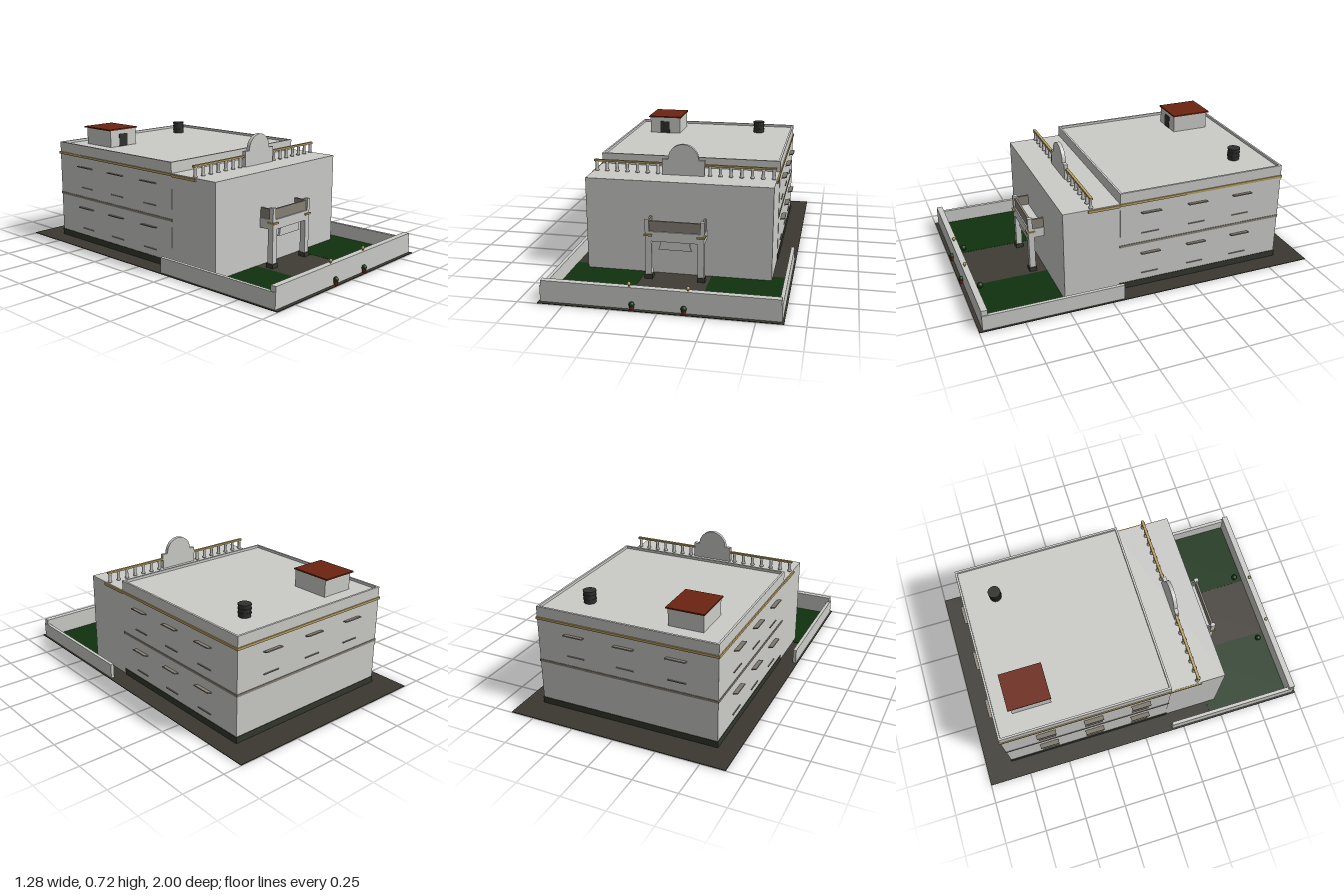
import * as THREE from 'three';

const mat = (name, color) => {
  const m = new THREE.MeshStandardMaterial({ color });
  m.name = name;
  return m;
};

export function createModel() {
  const white = mat('plaster white', 0xcbcbc8);
  const taupe = mat('stone taupe', 0x878175);
  const gold = mat('ochre gold', 0xb89f60);
  const red = mat('roof red', 0x6c2411);
  const dark = mat('charcoal', 0x30312e);
  const green = mat('lawn green', 0x10320f);
  const ground = mat('ground grey', 0x3a3830);
  const path = mat('path grey', 0x403c36);
  const plinth = mat('plinth olive', 0x33372c);

  const model = new THREE.Group();
  model.name = 'building';
  const group = (name) => {
    const g = new THREE.Group();
    g.name = name;
    model.add(g);
    return g;
  };
  const add = (parent, name, geo, m, x = 0, y = 0, z = 0) => {
    const mesh = new THREE.Mesh(geo, m);
    mesh.name = name;
    mesh.position.set(x, y, z);
    parent.add(mesh);
    return mesh;
  };
  // Box given by its limits on each axis
  const box = (parent, name, m, x0, x1, y0, y1, z0, z1) =>
    add(parent, name, new THREE.BoxGeometry(x1 - x0, y1 - y0, z1 - z0), m,
      (x0 + x1) / 2, (y0 + y1) / 2, (z0 + z1) / 2);
  // Box and its mirror image across x = 0
  const pair = (parent, name, m, x0, x1, ...yz) => {
    box(parent, name, m, x0, x1, ...yz);
    box(parent, name, m, -x1, -x0, ...yz);
  };
  const ball = (parent, name, m, r, x, y, z) =>
    add(parent, name, new THREE.SphereGeometry(r, 12, 8), m, x, y, z);

  // Plot, lawns and path
  const plot = group('plot');
  box(plot, 'groundSlab', ground, -0.64, 0.64, 0.001, 0.005, -1, 1);
  pair(plot, 'lawn', green, 0.19, 0.61, 0.004, 0.008, 0.435, 0.95);
  box(plot, 'path', path, -0.19, 0.19, 0.004, 0.007, 0.435, 0.95);

  // Boundary wall
  const wall = group('boundaryWall');
  box(wall, 'frontWall', white, -0.625, 0.625, 0.005, 0.123, 0.945, 0.98);
  pair(wall, 'sideWall', white, 0.61, 0.63, 0.005, 0.093, 0.175, 0.98);
  for (const s of [-1, 1]) {
    ball(wall, 'wallLamp', gold, 0.01, s * 0.153, 0.137, 0.963);
    add(wall, 'lampStem', new THREE.CylinderGeometry(0.005, 0.005, 0.012, 8), gold, s * 0.153, 0.126, 0.963);
    // Potted plants outside, bushes inside
    add(wall, 'plantPot', new THREE.CylinderGeometry(0.013, 0.01, 0.022, 10), red, s * 0.135, 0.016, 0.988);
    ball(wall, 'pottedPlant', green, 0.015, s * 0.135, 0.034, 0.988);
    ball(wall, 'bush', green, 0.018, s * 0.225, 0.022, 0.9);
  }

  // Main blocks
  const body = group('body');
  box(body, 'rearBlock', white, -0.53, 0.53, 0, 0.59, -0.84, 0.165);
  box(body, 'frontBlock', white, -0.528, 0.528, 0.003, 0.543, 0.16, 0.492);
  pair(body, 'sideParapet', white, 0.518, 0.53, 0.59, 0.605, -0.84, 0.165);
  box(body, 'rearParapet', white, -0.518, 0.518, 0.59, 0.605, -0.84, -0.828);
  box(body, 'frontParapet', white, -0.518, 0.518, 0.59, 0.605, 0.153, 0.165);
  pair(body, 'sidePlinth', plinth, 0.528, 0.533, 0.005, 0.042, -0.843, 0.167);
  box(body, 'rearPlinth', plinth, -0.533, 0.533, 0.005, 0.042, -0.843, -0.838);
  pair(body, 'middleBand', taupe, 0.528, 0.533, 0.272, 0.286, -0.843, 0.167);
  box(body, 'rearMiddleBand', taupe, -0.533, 0.533, 0.272, 0.286, -0.843, -0.838);
  pair(body, 'cornice', gold, 0.526, 0.536, 0.53, 0.544, -0.846, 0.167);
  box(body, 'rearCornice', gold, -0.536, 0.536, 0.53, 0.544, -0.846, -0.838);
  pair(body, 'frontCornice', gold, 0.526, 0.536, 0.525, 0.54, 0.167, 0.35);

  // Upturned window shades with sills; each unit faces +z before turning
  const windows = group('windows');
  const addWindow = (x, z, turn, shadeY, sillY) => {
    const unit = new THREE.Group();
    unit.name = 'window';
    unit.position.set(x, 0, z);
    unit.rotation.y = turn;
    windows.add(unit);
    const shade = box(unit, 'windowShade', taupe, -0.057, 0.057, shadeY - 0.003, shadeY + 0.003, -0.004, 0.028);
    shade.rotation.x = -0.22;
    box(unit, 'windowSill', taupe, -0.052, 0.052, sillY - 0.003, sillY + 0.003, -0.002, 0.005);
  };
  for (const [shadeY, sillY] of [[0.473, 0.342], [0.217, 0.083]]) {
    for (const z of [-0.015, -0.3, -0.583]) {
      addWindow(0.53, z, Math.PI / 2, shadeY, sillY);
      addWindow(-0.53, z, -Math.PI / 2, shadeY, sillY);
    }
  }
  for (const x of [-0.3, 0, 0.3]) addWindow(x, -0.84, Math.PI, 0.473, 0.342);

  // Balustrade with slim turned posts
  const balustrade = group('balustrade');
  const postGeo = new THREE.LatheGeometry(
    [[0, 0], [0.012, 0], [0.012, 0.006], [0.009, 0.012], [0.009, 0.048], [0.014, 0.056], [0, 0.056]]
      .map(([r, y]) => new THREE.Vector2(r, y)), 10);
  for (const s of [-1, 1]) {
    for (let i = 0; i < 7; i++) add(balustrade, 'post', postGeo, white, s * (0.15 + i * 0.06), 0.543, 0.328);
  }
  pair(balustrade, 'rail', gold, 0.12, 0.525, 0.598, 0.609, 0.32, 0.336);

  // Round-topped centrepiece
  const crest = new THREE.Shape();
  crest.moveTo(-0.122, 0.543);
  crest.lineTo(0.122, 0.543);
  crest.lineTo(0.122, 0.633);
  crest.lineTo(0.088, 0.633);
  crest.absarc(0, 0.633, 0.088, 0, Math.PI, false);
  crest.lineTo(-0.122, 0.633);
  add(balustrade, 'crest', new THREE.ExtrudeGeometry(crest, { depth: 0.022, bevelEnabled: false, curveSegments: 24 }),
    white, 0, 0, 0.322);

  // Rooftop hut and water tank
  const roof = group('rooftop');
  box(roof, 'hut', white, -0.4, -0.2, 0.588, 0.692, -0.73, -0.503);
  box(roof, 'hutRoof', red, -0.41, -0.193, 0.692, 0.7, -0.745, -0.498);
  box(roof, 'hutDoor', dark, -0.333, -0.27, 0.59, 0.667, -0.505, -0.5);
  add(roof, 'waterTank', new THREE.CylinderGeometry(0.034, 0.034, 0.07, 16), dark, 0.312, 0.625, -0.645);
  for (const y of [0.612, 0.635, 0.657]) {
    add(roof, 'tankRib', new THREE.CylinderGeometry(0.037, 0.037, 0.008, 16), dark, 0.312, y, -0.645);
  }

  // Entrance porch with a balcony above
  const porch = group('porch');
  pair(porch, 'column', white, 0.13, 0.165, 0.005, 0.235, 0.55, 0.585);
  pair(porch, 'columnBase', ground, 0.126, 0.17, 0.005, 0.032, 0.545, 0.59);
  box(porch, 'balconyFloor', white, -0.165, 0.165, 0.228, 0.284, 0.488, 0.585);
  pair(porch, 'capital', gold, 0.124, 0.17, 0.259, 0.269, 0.545, 0.594);
  pair(porch, 'balconyPost', white, 0.144, 0.167, 0.284, 0.353, 0.56, 0.587);
  box(porch, 'balconyPanel', taupe, -0.144, 0.144, 0.284, 0.343, 0.566, 0.578);
  pair(porch, 'balconySide', taupe, 0.148, 0.16, 0.284, 0.343, 0.49, 0.562);

  // Hanging valance between the columns
  const valance = new THREE.Shape();
  valance.moveTo(-0.095, 0.177);
  valance.lineTo(0.095, 0.177);
  valance.quadraticCurveTo(0.08, 0.2, 0.085, 0.23);
  valance.lineTo(-0.085, 0.23);
  valance.quadraticCurveTo(-0.08, 0.2, -0.095, 0.177);
  add(porch, 'valance', new THREE.ExtrudeGeometry(valance, { depth: 0.012, bevelEnabled: false }), white, 0, 0, 0.56);

  return model;
}
